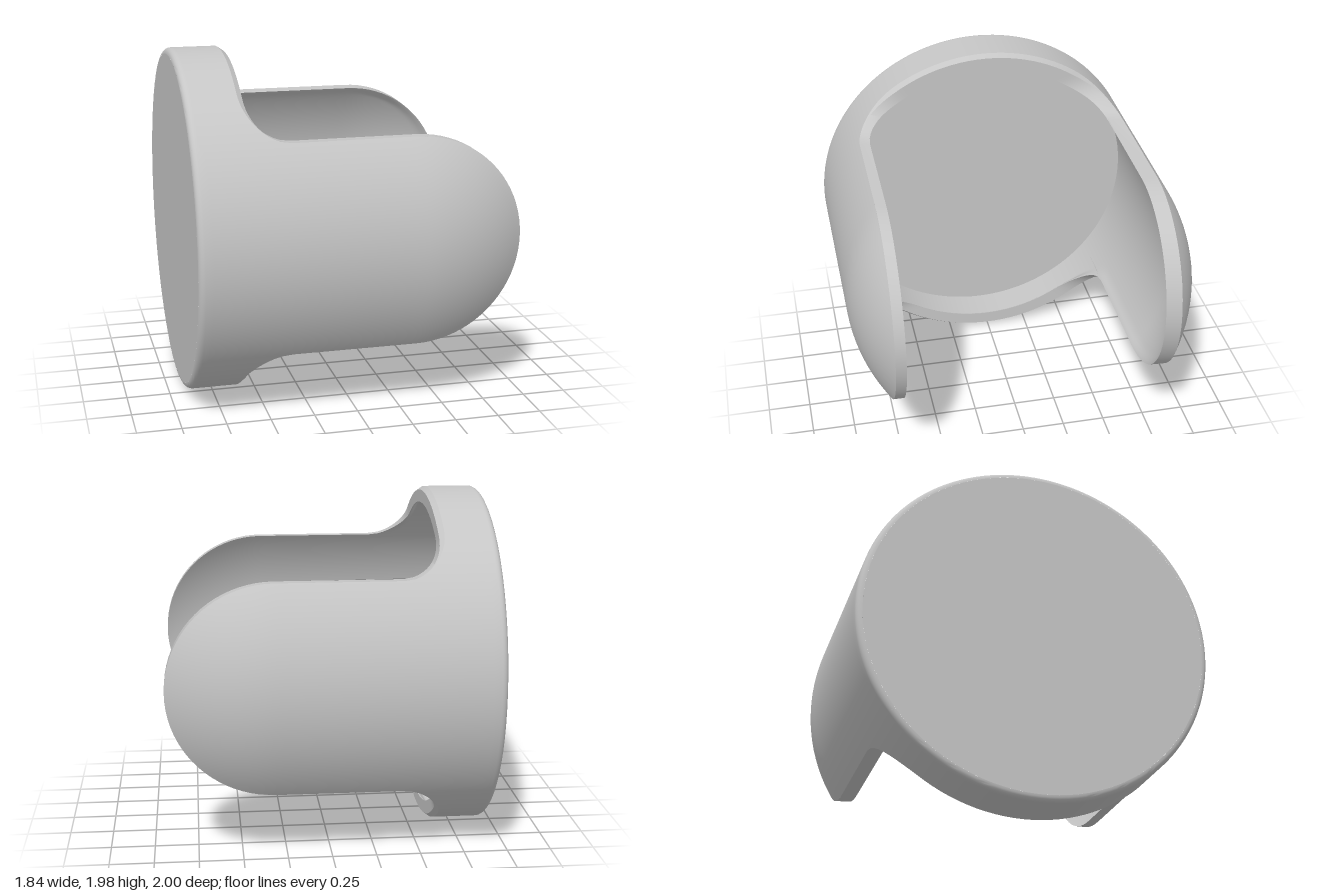
import * as THREE from 'three';
import { toCreasedNormals } from 'three/addons/utils/BufferGeometryUtils.js';

const BASE = -0.92, FLOOR = -0.86, RIM = -0.6, DOME = 0.32; // stations along x
const HALF = 0.6, FILLET = 0.22;                            // arm half height, slot corner radius
const R_IN = 0.945, IN_Z = 0.01, ROUND = 0.035;             // bore radius and offset, base edge rounding
const ROWS = 40;
const { lerp, smoothstep } = THREE.MathUtils;

// x of the cut edge at height y: round arm tip, filleted corner, then the cup rim
function edgeX(y, onArm) {
  y = Math.abs(y);
  if (onArm) return DOME + Math.sqrt(Math.max(0, HALF * HALF - y * y));
  const d = Math.max(0, HALF + FILLET - y);
  return RIM + FILLET - Math.sqrt(Math.max(0, FILLET * FILLET - d * d));
}

// distance from a point of the wall to the cut edge
function edgeDistance(x, y) {
  y = Math.abs(y);
  if (y > HALF + FILLET) return RIM - x;
  if (x < RIM + FILLET) return Math.hypot(x - RIM - FILLET, y - HALF - FILLET) - FILLET;
  return HALF - Math.hypot(Math.max(0, x - DOME), y);
}

// point on a cylinder that ends in a dome, at station x and angle a
function onSkin(x, a, radius, side, offset) {
  const y = radius * Math.sin(a), d = Math.max(0, x - DOME);
  return [x, y, side * Math.sqrt(Math.max(0, radius * radius - y * y - d * d)) + offset];
}

// one lengthwise section: rounded base edge, outer skin, cut edge, inner skin
function section({ outer, inner, onArm }, side) {
  const pts = [];
  const yo = Math.sin(outer), yi = R_IN * Math.sin(inner);
  const xo = edgeX(yo, onArm), xi = edgeX(yi, onArm);
  const chamfer = onArm ? 0 : 0.03 * smoothstep(Math.abs(yo), HALF, 0.85);

  for (let i = 0; i < 5; i++) {
    const a = (i / 5) * Math.PI / 2;
    const r = 1 - ROUND + ROUND * Math.sin(a);
    pts.push([BASE + ROUND * (1 - Math.cos(a)), r * yo, side * r * Math.cos(outer)]);
  }
  for (let i = 0; i <= ROWS; i++)
    pts.push(onSkin(lerp(BASE + ROUND, xo - chamfer, i / ROWS), outer, 1, side, 0));
  const k = 1 - 0.7 * chamfer;
  const edge = pts[pts.length - 1];
  pts.push([xo, edge[1] * k, edge[2] * k]);

  // the inner skin thickens into a lip near the edge, most of all at the rim
  const lip = lerp(side > 0 ? 0 : 0.01, 0.04, smoothstep(Math.abs(yi), HALF, 0.82));
  for (let i = 0; i <= ROWS; i++) {
    const x = lerp(xi, FLOOR, Math.pow(i / ROWS, 1.5));
    const r = R_IN - lip * (1 - smoothstep(edgeDistance(x, yi), 0, 0.05));
    pts.push(onSkin(x, inner, r, side, IN_Z));
  }
  return pts;
}

// angles of the sections from mid height up to the top
function quarterColumns() {
  const cols = [], armOut = Math.asin(HALF), armIn = Math.asin(HALF / R_IN);
  const nArm = 20, nRim = 24;
  for (let i = 0; i <= nArm; i++) {
    const y = HALF * Math.sin((i / nArm) * Math.PI / 2);
    cols.push({ outer: Math.asin(y), inner: Math.asin(y / R_IN), onArm: true });
  }
  for (let i = 0; i <= nRim; i++) {
    const t = Math.pow(i / nRim, 1.4);
    cols.push({
      outer: lerp(armOut, Math.PI / 2, t),
      inner: lerp(armIn, Math.PI / 2, t),
      onArm: false,
    });
  }
  return cols;
}

function shellGeometry() {
  const up = quarterColumns();
  const down = up.slice(1).reverse().map(c => ({ outer: -c.outer, inner: -c.inner, onArm: c.onArm }));
  const half = [...down, ...up];
  const loop = [
    ...half.map(c => section(c, 1)),
    ...half.slice().reverse().map(c => section(c, -1)),
  ];
  const n = loop[0].length, index = [];
  for (let c = 0; c < loop.length; c++) {
    const next = (c + 1) % loop.length;
    for (let r = 0; r < n - 1; r++) {
      const a = c * n + r, d = next * n + r;
      index.push(a, a + 1, d, a + 1, d + 1, d);
    }
  }
  const geo = new THREE.BufferGeometry();
  geo.setAttribute('position', new THREE.Float32BufferAttribute(loop.flat(2), 3));
  geo.setIndex(index);
  return toCreasedNormals(geo, 0.5);
}

export function createModel() {
  const grey = new THREE.MeshStandardMaterial({ color: 0xc6c6c6 });
  grey.name = 'light grey';
  const group = new THREE.Group();
  group.name = 'slottedCup';

  const add = (name, geo) => {
    const mesh = new THREE.Mesh(geo, grey);
    mesh.name = name;
    mesh.position.y = 0.99;
    mesh.scale.y = 0.99;
    group.add(mesh);
  };

  // cup wall with its two rounded arms
  add('shellWithArms', shellGeometry());
  // closed end, outside and inside
  add('baseDisc', new THREE.CircleGeometry(1 - ROUND, 96).rotateY(-Math.PI / 2).translate(BASE, 0, 0));
  add('innerFloor', new THREE.CircleGeometry(R_IN + 0.005, 96).rotateY(Math.PI / 2).translate(FLOOR, 0, IN_Z));
  return group;
}
